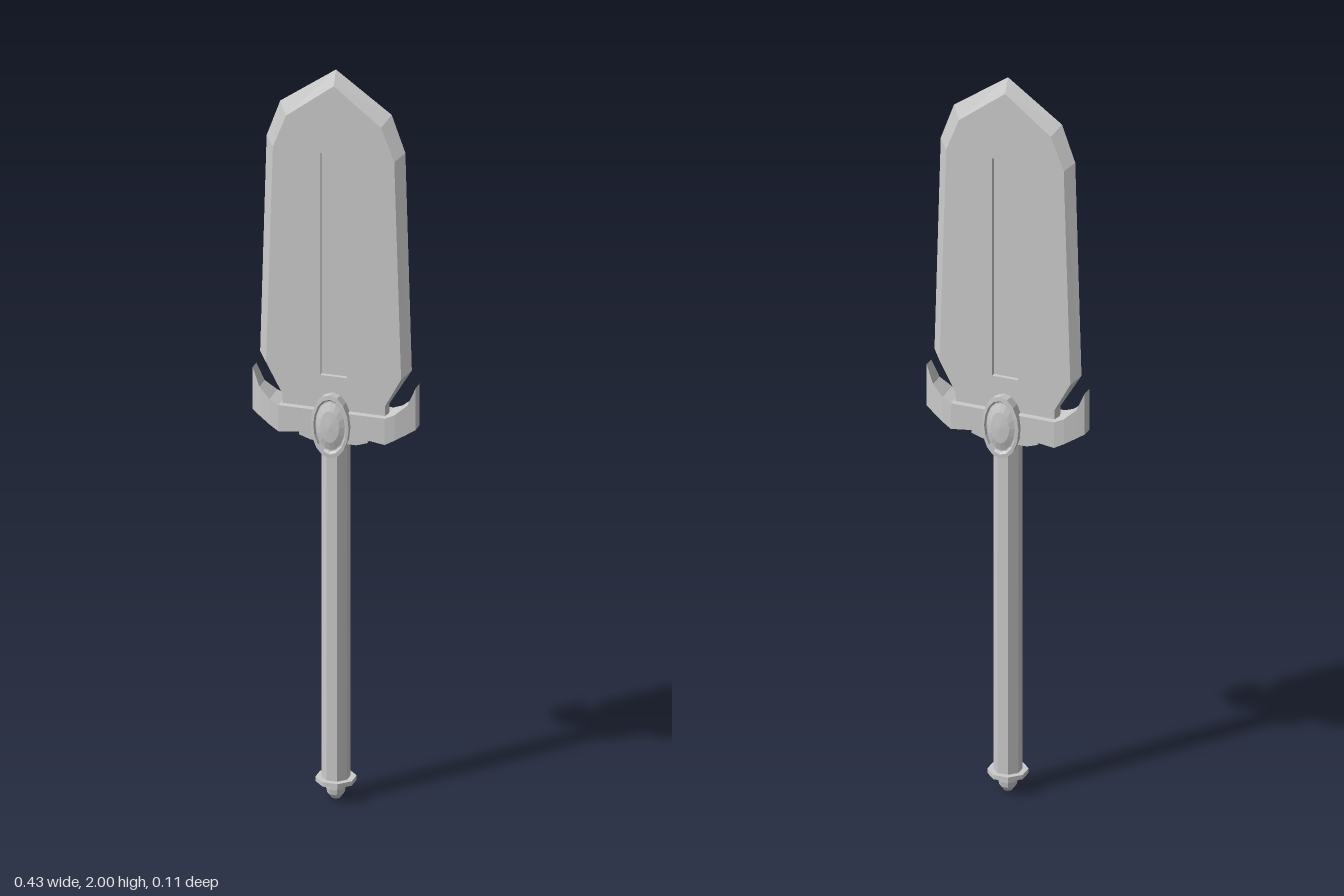
import * as THREE from 'three';

const material = new THREE.MeshStandardMaterial({ color: 0xcccccc, flatShading: true, side: THREE.DoubleSide });

function mesh(name, geometry, parent) {
  const m = new THREE.Mesh(geometry, material);
  m.name = name;
  parent.add(m);
  return m;
}

// Joins matching loops of 3D points with quads; optionally caps both ends
function skin(loops, capped = false) {
  const n = loops[0].length, index = [];
  for (let j = 0; j < loops.length - 1; j++) {
    for (let i = 0; i < n; i++) {
      const a = j * n + i, b = j * n + (i + 1) % n;
      index.push(a, b, b + n, a, b + n, a + n);
    }
  }
  if (capped) {
    const e = (loops.length - 1) * n;
    for (let i = 1; i < n - 1; i++) index.push(0, i + 1, i, e, e + i, e + i + 1);
  }
  const g = new THREE.BufferGeometry();
  g.setAttribute('position', new THREE.Float32BufferAttribute(loops.flat(2), 3));
  g.setIndex(index);
  const flat = g.toNonIndexed();
  flat.computeVertexNormals();
  return flat;
}

// Right half of an outline, bottom to tip, completed by mirroring
const mirrored = half => [...half, ...half.slice(0, -1).reverse().map(([x, y]) => [-x, y])];

function createBlade() {
  const blade = new THREE.Group();
  blade.name = 'blade';
  const T = 0.02, floorZ = 0.009;
  const edge = mirrored([[0.14, 1.03], [0.14, 1.1], [0.2, 1.2], [0.183, 1.795], [0.147, 1.895], [0, 2]]);
  const face = mirrored([[0.135, 1.03], [0.135, 1.1], [0.178, 1.18], [0.16, 1.775], [0.125, 1.865], [0, 1.962]]);

  // Flat face with the groove cut through it
  const shape = new THREE.Shape(face.map(p => new THREE.Vector2(...p)));
  const w = 0.035, y0 = 1.165, y1 = 1.775;
  shape.holes.push(new THREE.Path([[-w, y0], [-w, y1], [w, y1], [w, y0]].map(p => new THREE.Vector2(...p))));
  const plate = new THREE.ExtrudeGeometry(shape, { depth: T - floorZ, bevelEnabled: false }).translate(0, 0, floorZ);
  const bevel = skin([edge.map(([x, y]) => [x, y, 0]), face.map(([x, y]) => [x, y, T])]);
  const floor = new THREE.PlaneGeometry(2 * w, y1 - y0).translate(0, (y0 + y1) / 2, floorZ);

  for (const [side, turn] of [['front', 0], ['back', Math.PI]]) {
    const half = new THREE.Group();
    half.name = side + 'BladeSide';
    half.rotation.y = turn;
    mesh('bladeFace', plate, half);
    mesh('bladeBevel', bevel, half);
    mesh('grooveFloor', floor, half);
    blade.add(half);
  }
  return blade;
}

function createGuard() {
  const guard = new THREE.Group();
  guard.name = 'guard';

  // Crosspiece with upturned, tapering ends: [x, bottom, top, half thickness]
  const arm = [[0.05, 1.015, 1.075, 0.037], [0.14, 1.003, 1.075, 0.037],
    [0.165, 1.016, 1.086, 0.032], [0.195, 1.033, 1.112, 0.022], [0.215, 1.045, 1.16, 0.015]];
  const sections = [...arm.map(([x, ...r]) => [-x, ...r]).reverse(), ...arm];
  mesh('crosspiece', skin(sections.map(([x, b, t, z]) => [[x, b, -z], [x, t, -z], [x, t, z], [x, b, z]]), true), guard);

  // Small block under the crosspiece
  const block = new THREE.Shape([[-0.06, 0.985], [0.06, 0.985], [0.09, 0.995], [0.09, 1.03], [-0.09, 1.03], [-0.09, 0.995]]
    .map(p => new THREE.Vector2(...p)));
  mesh('underBlock', new THREE.ExtrudeGeometry(block, { depth: 0.044, bevelEnabled: false }).translate(0, 0, -0.022), guard);

  // Oval medallion, rimmed and domed on both faces
  const half = [[0.94, 0], [0.94, 0.036], [1, 0.037], [1, 0.052], [0.86, 0.053], [0.8, 0.046], [0.76, 0.046], [0.5, 0.053], [0, 0.056]];
  const profile = [...half.slice(1).reverse().map(([r, h]) => [r, -h]), ...half];
  const oval = new THREE.LatheGeometry(profile.map(p => new THREE.Vector2(...p)), 16);
  oval.scale(0.05, 1, 0.087).rotateX(Math.PI / 2).translate(0, 1.04, 0);
  mesh('medallion', oval, guard);
  return guard;
}

function createHandle() {
  const handle = new THREE.Group();
  handle.name = 'handle';
  const turned = (name, points) => mesh(name,
    new THREE.LatheGeometry(points.map(p => new THREE.Vector2(...p)), 8).rotateY(Math.PI / 8), handle);
  turned('grip', [[0, 0.05], [0.0365, 0.05], [0.0365, 1.02], [0, 1.02]]);
  turned('collar', [[0, 0.048], [0.052, 0.048], [0.052, 0.06], [0, 0.06]]);
  turned('pommel', [[0, 0], [0.012, 0.003], [0.022, 0.016], [0.025, 0.03], [0.025, 0.05]]);
  return handle;
}

export function createModel() {
  const model = new THREE.Group();
  model.name = 'broadBladeSword';
  model.add(createBlade(), createGuard(), createHandle());
  return model;
}
